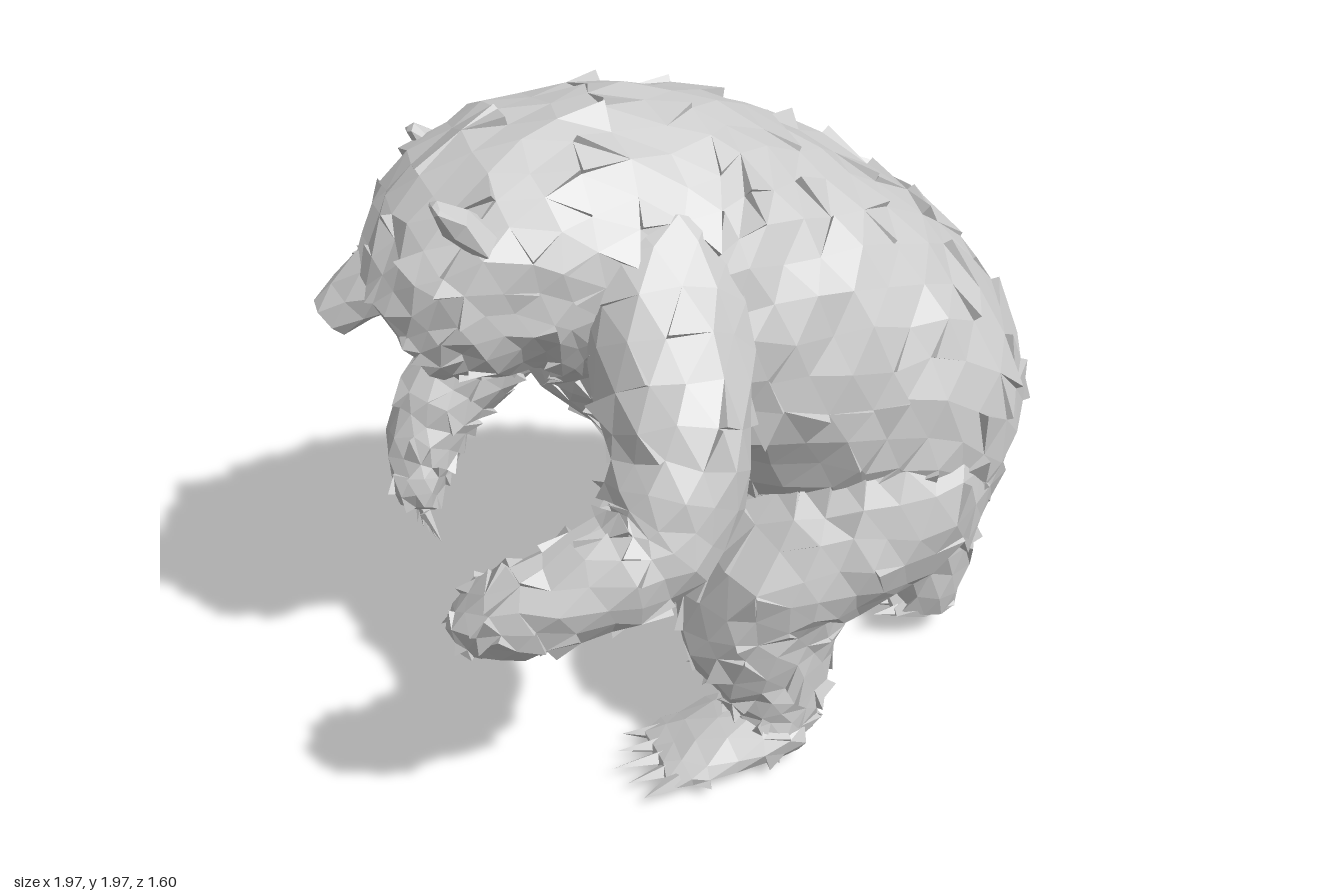
import * as THREE from 'three';

export function createModel() {
  const model = new THREE.Group();
  model.name = 'bear';
  const fur = new THREE.MeshStandardMaterial({ color: 0xcccccc, flatShading: true, side: THREE.DoubleSide });

  // Seeded random numbers in 0..1
  let seed = 7;
  const rand = () => {
    seed = (seed * 16807) % 2147483647;
    return seed / 2147483647;
  };
  const jitter = (s) => (rand() - 0.5) * 2 * s;

  // Lofts oval sections [x, y, z, in-plane radius, sideways radius] along a smooth path.
  // Vertices are roughened, and some facets are raised into shaggy tufts.
  function loft(name, sections, { sides = 12, steps = 3, rough = 0.013, tufts = 0.22, cap = 0.35, parent = model } = {}) {
    const path = new THREE.CatmullRomCurve3(sections.map((s) => new THREE.Vector3(s[0], s[1], s[2])), false, 'catmullrom');
    const radii = new THREE.CatmullRomCurve3(sections.map((s) => new THREE.Vector3(s[3], s[4], 0)), false, 'catmullrom');
    const count = (sections.length - 1) * steps;
    const rings = [];
    const ends = [];
    for (let i = 0; i <= count; i++) {
      const c = path.getPoint(i / count);
      const r = radii.getPoint(i / count);
      const t = path.getTangent(i / count);
      const u = new THREE.Vector3(0, 0, 1).addScaledVector(t, -t.z).normalize();
      const v = t.clone().cross(u);
      const ring = [];
      for (let k = 0; k < sides; k++) {
        const a = ((k + (i % 2) * 0.5) / sides) * Math.PI * 2;
        const p = c.clone().addScaledVector(u, Math.cos(a) * r.y).addScaledVector(v, Math.sin(a) * r.x);
        p.add(new THREE.Vector3(jitter(rough), jitter(rough), jitter(rough)));
        p.y = Math.max(0, p.y);
        ring.push(p);
      }
      rings.push(ring);
      if (i === 0) ends.push(c.clone().addScaledVector(t, -r.x * cap));
      if (i === count) ends.push(c.clone().addScaledVector(t, r.x * cap));
    }
    ends.forEach((e) => { e.y = Math.max(0, e.y); });

    const out = [];
    const tri = (a, b, c) => [a, b, c].forEach((p) => out.push(p.x, p.y, p.z));
    const facet = (a, b, c) => {
      if (rand() > tufts) return tri(a, b, c);
      const n = b.clone().sub(a).cross(c.clone().sub(a)).normalize();
      const tip = a.clone().add(b).add(c).divideScalar(3).lerp([a, b, c][Math.floor(rand() * 3)], 0.95);
      tip.addScaledVector(n, 0.01 + rand() * 0.022);
      tip.y = Math.max(0, tip.y);
      tri(a, b, tip);
      tri(b, c, tip);
      tri(c, a, tip);
    };
    for (let i = 0; i < count; i++) {
      for (let k = 0; k < sides; k++) {
        const j = (k + 1) % sides;
        const [p, q] = [rings[i], rings[i + 1]];
        // Alternate rings are turned half a step, so the diagonal alternates too
        if (i % 2) {
          facet(p[k], p[j], q[j]);
          facet(p[k], q[j], q[k]);
        } else {
          facet(p[k], p[j], q[k]);
          facet(p[j], q[j], q[k]);
        }
      }
    }
    for (let k = 0; k < sides; k++) {
      const j = (k + 1) % sides;
      tri(ends[0], rings[0][j], rings[0][k]);
      tri(ends[1], rings[count][k], rings[count][j]);
    }
    const geo = new THREE.BufferGeometry();
    geo.setAttribute('position', new THREE.Float32BufferAttribute(out, 3));
    geo.computeVertexNormals();
    const mesh = new THREE.Mesh(geo, fur);
    mesh.name = name;
    parent.add(mesh);
  }

  // Small pointed cone from a base point to a tip
  function spike(name, from, to, radius, parent = model) {
    const a = new THREE.Vector3(...from);
    const d = new THREE.Vector3(...to).sub(a);
    const mesh = new THREE.Mesh(new THREE.ConeGeometry(radius, d.length(), 4), fur);
    mesh.name = name;
    mesh.position.copy(a).addScaledVector(d, 0.5);
    mesh.quaternion.setFromUnitVectors(new THREE.Vector3(0, 1, 0), d.normalize());
    parent.add(mesh);
  }

  // Hunched body running from the rump over the back to the lowered head
  loft('body', [
    [0.8, 0.62, -0.14, 0.13, 0.26], [0.7, 0.78, -0.14, 0.3, 0.43], [0.56, 0.99, -0.13, 0.43, 0.51],
    [0.34, 1.17, -0.13, 0.49, 0.53], [0.08, 1.34, -0.12, 0.49, 0.51], [-0.15, 1.49, -0.1, 0.455, 0.46],
    [-0.34, 1.58, -0.04, 0.385, 0.39], [-0.52, 1.58, 0.0, 0.34, 0.36], [-0.66, 1.5, 0.02, 0.27, 0.32],
    [-0.75, 1.42, 0.02, 0.18, 0.24],
  ], { sides: 26, steps: 3, rough: 0.014 });

  // Muzzle and ears
  loft('snout', [
    [-0.72, 1.57, 0.01, 0.12, 0.13], [-0.84, 1.53, 0, 0.09, 0.09], [-0.96, 1.445, 0, 0.06, 0.055],
  ], { sides: 7, steps: 2, rough: 0.004, tufts: 0, cap: 0.1 });
  for (const z of [-0.2, 0.26]) {
    loft('ear', [
      [-0.58, 1.74, z, 0.045, 0.07], [-0.65, 1.8, z, 0.04, 0.06], [-0.7, 1.85, z * 1.05, 0.015, 0.03],
    ], { sides: 6, steps: 1, rough: 0.006, tufts: 0 });
  }

  // Raised arm, bent forward at the elbow
  loft('leftArm', [
    [-0.13, 1.62, 0.13, 0.2, 0.18], [-0.15, 1.43, 0.36, 0.2, 0.18], [-0.17, 1.2, 0.53, 0.18, 0.17],
    [-0.25, 1.04, 0.61, 0.15, 0.15], [-0.42, 0.98, 0.65, 0.135, 0.125], [-0.62, 0.9, 0.615, 0.12, 0.12],
    [-0.72, 0.83, 0.55, 0.075, 0.1],
  ]);
  // Reaching arm, hanging lower
  loft('rightArm', [
    [-0.12, 1.58, -0.3, 0.22, 0.2], [-0.2, 1.34, -0.49, 0.21, 0.18], [-0.31, 1.12, -0.6, 0.18, 0.16],
    [-0.47, 0.95, -0.645, 0.15, 0.135], [-0.64, 0.78, -0.63, 0.135, 0.125], [-0.72, 0.61, -0.58, 0.105, 0.11],
    [-0.735, 0.47, -0.53, 0.06, 0.08],
  ]);
  for (let i = -2; i <= 2; i++) {
    spike('leftHandClaw', [-0.71 + i * 0.015, 0.82, 0.55 + i * 0.03], [-0.76 + i * 0.01, 0.75, 0.5 + i * 0.035], 0.018);
    spike('rightHandClaw', [-0.73, 0.47, -0.53 + i * 0.025], [-0.72 + i * 0.015, 0.38, -0.5 + i * 0.03], 0.018);
  }
  // Shaggy fringe under the raised elbow
  for (let i = 0; i < 6; i++) {
    spike('elbowTuft', [-0.18 - i * 0.05, 0.93, 0.53 + (i % 3) * 0.05], [-0.21 - i * 0.05, 0.83 + (i % 2) * 0.03, 0.52 + (i % 3) * 0.06], 0.03);
  }

  // Two heavy legs, matched on either side of the body's middle
  const middle = -0.125;
  for (const side of [1, -1]) {
    const leg = new THREE.Group();
    leg.name = side > 0 ? 'leftLeg' : 'rightLeg';
    model.add(leg);
    const at = (z) => middle + side * (z - middle);
    const place = (list) => list.map(([x, y, z, a, b]) => [x, y, at(z), a, b]);
    loft('thighAndShin', place([
      [0.66, 0.92, 0.04, 0.27, 0.26], [0.51, 0.8, 0.13, 0.3, 0.3], [0.34, 0.7, 0.18, 0.26, 0.28],
      [0.16, 0.58, 0.215, 0.225, 0.24], [0.14, 0.42, 0.235, 0.235, 0.175], [0.17, 0.24, 0.25, 0.165, 0.135],
      [0.16, 0.1, 0.27, 0.11, 0.125],
    ]), { sides: 16, parent: leg });
    loft('foot', place([
      [0.22, 0.09, 0.27, 0.08, 0.12], [0.1, 0.09, 0.28, 0.09, 0.14],
      [-0.07, 0.06, 0.29, 0.06, 0.155], [-0.18, 0.035, 0.3, 0.03, 0.135],
    ]), { sides: 10, steps: 2, rough: 0.008, tufts: 0.05, parent: leg });
    for (let i = -2; i <= 2; i++) {
      spike('toeClaw', [-0.15, 0.045, at(0.3 + i * 0.052)], [-0.32 + Math.abs(i) * 0.03, 0.04, at(0.31 + i * 0.07)], 0.03, leg);
    }
  }

  // Slim straight limb behind, with a short foot
  loft('rearLimb', [
    [0.77, 0.84, -0.17, 0.11, 0.12], [0.8, 0.62, -0.17, 0.12, 0.12],
    [0.81, 0.35, -0.17, 0.12, 0.125], [0.79, 0.11, -0.18, 0.1, 0.12],
  ], { sides: 10, rough: 0.01, tufts: 0.1 });
  loft('rearFoot', [
    [0.86, 0.12, -0.18, 0.05, 0.1], [0.76, 0.115, -0.18, 0.05, 0.11], [0.68, 0.1, -0.18, 0.025, 0.09],
  ], { sides: 8, steps: 1, rough: 0.005, tufts: 0 });
  for (let i = -1; i <= 1; i++) {
    spike('rearClaw', [0.69, 0.1, -0.18 + i * 0.055], [0.61, 0.1, -0.18 + i * 0.06], 0.025);
  }
  return model;
}
